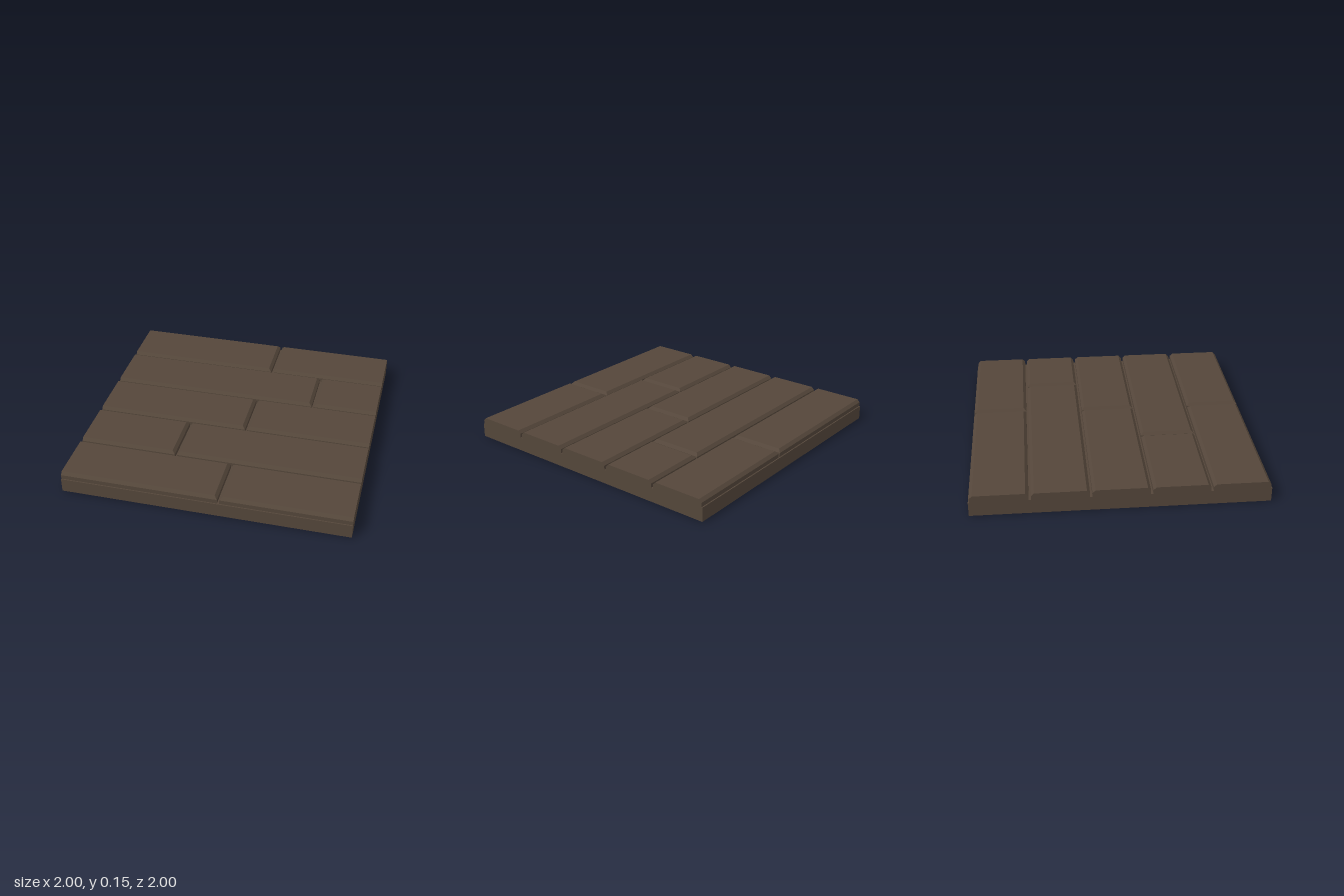
import * as THREE from 'three';

const BASE_TOP = 0.1, SHOULDER = 0.13, TOP = 0.15; // heights
const GAP = 0.008, BEVEL = 0.02; // half groove width, chamfer width

// Plank stacked from rectangular rings; outer ends stay square, inner ends are chamfered.
function plankGeometry(x0, x1, z0, z1, bevelLeft, bevelRight) {
  const ring = (y, b) => {
    const a = x0 + (bevelLeft ? b : 0), c = x1 - (bevelRight ? b : 0);
    return [[a, y, z1 - b], [c, y, z1 - b], [c, y, z0 + b], [a, y, z0 + b]];
  };
  const rings = [ring(BASE_TOP, 0), ring(SHOULDER, 0), ring(TOP, BEVEL)];
  const positions = [];
  const quad = (a, b, c, d) => positions.push(...a, ...b, ...c, ...a, ...c, ...d);
  for (let r = 0; r < 2; r++) {
    for (let i = 0; i < 4; i++) {
      const j = (i + 1) % 4;
      quad(rings[r][i], rings[r][j], rings[r + 1][j], rings[r + 1][i]);
    }
  }
  quad(...rings[2]);
  const geometry = new THREE.BufferGeometry();
  geometry.setAttribute('position', new THREE.Float32BufferAttribute(positions, 3));
  geometry.computeVertexNormals();
  return geometry;
}

export function createModel() {
  const group = new THREE.Group();
  group.name = 'plankFloor';
  const wood = new THREE.MeshStandardMaterial({ color: 0x54463a });
  wood.name = 'darkWood';

  // Solid slab under the planks
  const base = new THREE.Mesh(new THREE.BoxGeometry(2, BASE_TOP, 2), wood);
  base.name = 'baseSlab';
  base.position.y = BASE_TOP / 2;
  group.add(base);

  // Five rows from back to front, each split by one staggered joint
  [0.13, 0.525, 0.105, -0.305, 0.105].forEach((joint, row) => {
    const z = -0.8 + row * 0.4;
    const z0 = z - 0.2 + GAP, z1 = z + 0.2 - GAP;
    const right = new THREE.Mesh(plankGeometry(-1, joint - GAP, z0, z1, false, true), wood);
    right.name = `rightPlank${row + 1}`;
    const left = new THREE.Mesh(plankGeometry(joint + GAP, 1, z0, z1, true, false), wood);
    left.name = `leftPlank${row + 1}`;
    group.add(right, left);
  });
  return group;
}
